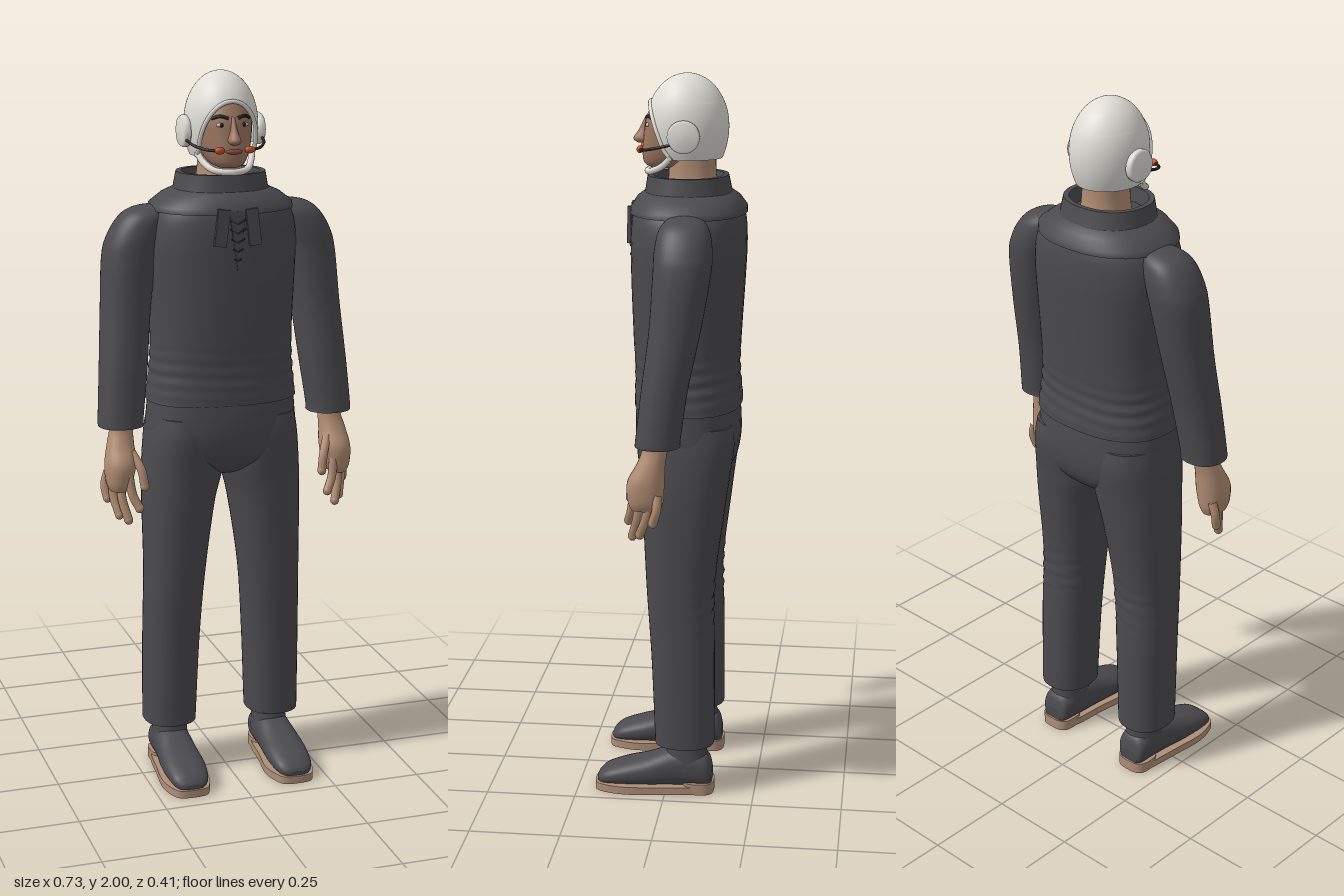
import * as THREE from 'three';

const mat = (name, color, side = THREE.FrontSide) => {
  const m = new THREE.MeshStandardMaterial({ color, side });
  m.name = name;
  return m;
};

// Stacks superellipse rings [y, x0, x1, z0, z1] upwards, smoothed between rings, with flat caps.
function loft(rings, { steps = 6, sides = 40, p = 2.2, warp } = {}) {
  const pos = [], idx = [], rows = [], last = rings.length - 1;
  const at = (i, k) => rings[Math.min(last, Math.max(0, i))][k];
  for (let r = 0; r <= last * steps; r++) {
    const i = Math.min(last - 1, Math.floor(r / steps)), t = r / steps - i;
    rows.push([0, 1, 2, 3, 4].map((k) => {
      const a = at(i - 1, k), b = at(i, k), c = at(i + 1, k), d = at(i + 2, k);
      if (steps === 1) return t ? c : b;
      return b + 0.5 * t * (c - a + t * (2 * a - 5 * b + 4 * c - d + t * (3 * (b - c) + d - a)));
    }));
  }
  const pow = (v) => Math.sign(v) * Math.abs(v) ** (2 / p);
  const addRow = ([y, x0, x1, z0, z1]) => {
    for (let j = 0; j < sides; j++) {
      const a = (j / sides) * Math.PI * 2;
      const v = new THREE.Vector3((x0 + x1) / 2 + (x1 - x0) / 2 * pow(Math.cos(a)), y,
        (z0 + z1) / 2 + (z1 - z0) / 2 * pow(Math.sin(a)));
      if (warp) warp(v, a);
      pos.push(v.x, v.y, v.z);
    }
  };
  rows.forEach(addRow);
  for (let i = 0; i < rows.length - 1; i++) for (let j = 0; j < sides; j++) {
    const k = (j + 1) % sides, A = i * sides + j, C = i * sides + k;
    idx.push(A, A + sides, C, A + sides, C + sides, C);
  }
  [rows[0], rows[rows.length - 1]].forEach((row, top) => {
    const start = pos.length / 3;
    addRow(row);
    pos.push((row[1] + row[2]) / 2, row[0], (row[3] + row[4]) / 2);
    for (let j = 0; j < sides; j++) {
      const k = (j + 1) % sides;
      idx.push(start + sides, start + (top ? k : j), start + (top ? j : k));
    }
  });
  return surface(pos, idx);
}

function surface(pos, idx) {
  const g = new THREE.BufferGeometry();
  g.setAttribute('position', new THREE.Float32BufferAttribute(pos, 3));
  g.setIndex(idx);
  g.computeVertexNormals();
  return g;
}

// Ring symmetric about x = 0
const sym = (y, w, z0, z1) => [y, -w, w, z0, z1];

function tube(points, r, n = 20) {
  const curve = new THREE.CatmullRomCurve3(points.map((q) => new THREE.Vector3(...q)));
  return new THREE.TubeGeometry(curve, n, r, 10);
}

function ball(x, y, z, sx, sy, sz) {
  return new THREE.SphereGeometry(1, 20, 14).scale(sx, sy, sz).translate(x, y, z);
}

function mirror(geo) {
  const g = geo.clone().scale(-1, 1, 1);
  const src = g.index ? Array.from(g.index.array) : Array.from({ length: g.attributes.position.count }, (_, i) => i);
  for (let i = 0; i < src.length; i += 3) [src[i], src[i + 1]] = [src[i + 1], src[i]];
  g.setIndex(src);
  return g;
}

export function createModel() {
  const root = new THREE.Group();
  const suit = mat('charcoal cloth', 0x4b4b4f), lace = mat('dark lace', 0x2b2b2d);
  const white = mat('helmet white', 0xdfddd6, THREE.DoubleSide), skin = mat('skin', 0xb08c72);
  const face = mat('face skin', 0x9c7760), tan = mat('sole tan', 0xae8f78);
  const orange = mat('microphone orange', 0xc2502a), black = mat('hair black', 0x241f1d);
  const eyeWhite = mat('eye white', 0xcfc8c0), lip = mat('lip', 0x85503f);
  const add = (name, geo, m) => {
    const mesh = new THREE.Mesh(geo, m);
    mesh.name = name;
    root.add(mesh);
  };
  const pair = (name, geo, m) => {
    add(name + 'Left', geo, m);
    add(name + 'Right', mirror(geo), m);
  };

  // Jersey with waist folds
  add('jersey', loft([
    sym(1.1, 0.212, -0.194, 0.101), sym(1.13, 0.208, -0.192, 0.101), sym(1.2, 0.2, -0.186, 0.1),
    sym(1.3, 0.198, -0.19, 0.105), sym(1.45, 0.205, -0.199, 0.11), sym(1.55, 0.208, -0.203, 0.111),
    sym(1.62, 0.195, -0.198, 0.106), sym(1.66, 0.16, -0.18, 0.09), sym(1.69, 0.1, -0.14, 0.05),
  ], {
    steps: 10, sides: 56, p: 2.4,
    warp: (v, a) => {
      const k = 0.012 * Math.max(0, 1 - Math.abs(v.y - 1.19) / 0.09) * Math.sin(v.y * 170 + Math.sin(a * 2) * 1.2);
      v.x *= 1 + k;
      v.z *= 1 + k;
    },
  }), suit);

  // Yoke and stand-up collar; repeated rings keep the edges sharp
  add('collar', loft([
    sym(1.63, 0.196, -0.2, 0.108), sym(1.63, 0.2, -0.204, 0.114), sym(1.63, 0.2, -0.204, 0.114),
    sym(1.645, 0.198, -0.203, 0.112), sym(1.67, 0.165, -0.185, 0.096), sym(1.685, 0.132, -0.165, 0.076),
    sym(1.685, 0.13, -0.162, 0.074), sym(1.73, 0.122, -0.152, 0.067), sym(1.73, 0.122, -0.152, 0.067),
    sym(1.73, 0.107, -0.138, 0.053), sym(1.73, 0.107, -0.138, 0.053), sym(1.69, 0.1, -0.13, 0.045),
  ], { steps: 1, sides: 56 }), suit);

  // Neck tabs and laced opening
  pair('neckTab', new THREE.BoxGeometry(0.034, 0.1, 0.01).rotateZ(0.12).translate(0.044, 1.596, 0.112), suit);
  const vee = new THREE.Shape([[-0.024, 1.64], [0, 1.48], [0.024, 1.64]].map((q) => new THREE.Vector2(...q)));
  add('neckOpening', new THREE.ExtrudeGeometry(vee, { depth: 0.004, bevelEnabled: false }).translate(0, 0, 0.1095), suit);
  for (let i = 0; i < 5; i++) {
    const w = 0.011 + i * 0.005;
    pair('lace' + i, new THREE.BoxGeometry(w, 0.004, 0.004).rotateZ(0.5).translate(w * 0.45, 1.508 + i * 0.026, 0.115), lace);
  }

  // Sleeves
  pair('sleeve', loft([
    [1.048, 0.24, 0.365, -0.055, 0.066], [1.07, 0.24, 0.365, -0.056, 0.064], [1.2, 0.223, 0.356, -0.074, 0.05],
    [1.35, 0.207, 0.344, -0.105, 0.032], [1.5, 0.185, 0.333, -0.13, 0.023], [1.56, 0.17, 0.317, -0.132, 0.021],
    [1.61, 0.155, 0.286, -0.122, 0.012], [1.635, 0.145, 0.252, -0.1, -0.008], [1.645, 0.15, 0.21, -0.07, -0.035],
  ], { steps: 8 }), suit);

  // Hands
  pair('palm', loft([
    [0.875, 0.295, 0.345, -0.004, 0.075], [0.9, 0.282, 0.354, -0.012, 0.084], [0.95, 0.27, 0.356, -0.014, 0.086],
    [1.0, 0.272, 0.346, -0.016, 0.06], [1.04, 0.272, 0.336, -0.022, 0.046], [1.08, 0.27, 0.336, -0.024, 0.046],
  ], { sides: 24 }), skin);
  [
    [[0.34, 0.92, 0.002], [0.35, 0.88, 0.004], [0.346, 0.845, 0.014]],
    [[0.33, 0.92, 0.025], [0.334, 0.86, 0.032], [0.322, 0.805, 0.052]],
    [[0.315, 0.92, 0.05], [0.316, 0.855, 0.058], [0.302, 0.795, 0.074]],
    [[0.298, 0.92, 0.07], [0.29, 0.865, 0.078], [0.274, 0.83, 0.088]],
    [[0.285, 0.98, 0.05], [0.265, 0.935, 0.078], [0.258, 0.89, 0.085]],
  ].forEach((path, i) => {
    const name = i < 4 ? 'finger' + i : 'thumb';
    pair(name, tube(path, 0.0125, 10), skin);
    pair(name + 'Tip', ball(...path[2], 0.0125, 0.0135, 0.0125), skin);
  });

  // Trousers with folds behind the knees
  add('trouserSeat', loft([
    sym(0.885, 0.06, -0.1, 0.01), sym(0.905, 0.13, -0.145, 0.05), sym(0.945, 0.195, -0.178, 0.083),
    sym(1.0, 0.213, -0.19, 0.097), sym(1.06, 0.21, -0.19, 0.099), sym(1.12, 0.204, -0.185, 0.096),
  ], { sides: 48, p: 2.4 }), suit);
  pair('trouserLeg', loft([
    [0.15, 0.08, 0.229, -0.134, 0.031], [0.17, 0.079, 0.23, -0.136, 0.032], [0.4, 0.069, 0.229, -0.135, 0.042],
    [0.6, 0.054, 0.226, -0.133, 0.056], [0.8, 0.026, 0.227, -0.156, 0.067], [0.9, 0.003, 0.225, -0.169, 0.074],
    [1.0, 0.005, 0.216, -0.182, 0.085], [1.06, 0.02, 0.205, -0.175, 0.08],
  ], {
    steps: 12, p: 2.3,
    warp: (v, a) => {
      const k = Math.max(0, 1 - Math.abs(v.y - 0.56) / 0.1) * Math.max(0, -Math.sin(a));
      v.z += 0.005 * k * Math.sin(v.y * 160 + v.x * 25);
    },
  }), suit);

  // Shoes: upper lofted heel to toe, ankle and sole
  const shoe = [
    [-0.13, 0.125, 0.185, 0.02, 0.07], [-0.115, 0.108, 0.2, 0.016, 0.11], [-0.06, 0.102, 0.204, 0.014, 0.13],
    [-0.01, 0.1, 0.207, 0.014, 0.122], [0.05, 0.097, 0.213, 0.014, 0.1], [0.11, 0.095, 0.214, 0.014, 0.083],
    [0.165, 0.103, 0.207, 0.014, 0.063], [0.188, 0.118, 0.192, 0.016, 0.045], [0.195, 0.135, 0.175, 0.02, 0.035],
  ].map(([z, x0, x1, y0, y1]) => [z, x0, x1, -y1, -y0]);
  pair('shoeUpper', loft(shoe, { p: 2.4 }).rotateX(Math.PI / 2), suit);
  pair('ankle', loft([
    [0.07, 0.1, 0.205, -0.122, 0.015], [0.12, 0.103, 0.2, -0.115, 0.0], [0.2, 0.106, 0.196, -0.11, -0.006],
  ], { sides: 28 }), suit);
  const outline = new THREE.Shape(new THREE.SplineCurve([
    [0.12, -0.125], [0.155, -0.135], [0.19, -0.125], [0.205, -0.07], [0.214, 0.02], [0.222, 0.11], [0.208, 0.175],
    [0.185, 0.199], [0.125, 0.199], [0.102, 0.175], [0.087, 0.11], [0.097, 0.02], [0.104, -0.07], [0.12, -0.125],
  ].map((q) => new THREE.Vector2(...q))).getPoints(64));
  pair('sole', new THREE.ExtrudeGeometry(outline, { depth: 0.022, bevelEnabled: false })
    .rotateX(Math.PI / 2).translate(0, 0.022, 0), tan);
  pair('heel', loft([[0, 0.106, 0.204, -0.136, -0.05], [0.032, 0.105, 0.205, -0.136, -0.045]],
    { steps: 1, p: 3 }), tan);

  // Neck, head and face
  add('neck', loft([sym(1.68, 0.068, -0.125, 0.015), sym(1.74, 0.06, -0.118, 0.01), sym(1.81, 0.058, -0.118, 0.01)]), skin);
  add('head', loft([
    sym(1.748, 0.028, -0.01, 0.06), sym(1.76, 0.047, -0.06, 0.077), sym(1.79, 0.063, -0.1, 0.082),
    sym(1.83, 0.073, -0.12, 0.078), sym(1.87, 0.075, -0.125, 0.074), sym(1.9, 0.07, -0.12, 0.064),
    sym(1.93, 0.058, -0.1, 0.045), sym(1.95, 0.03, -0.06, 0),
  ]), face);
  add('nose', loft([
    sym(1.813, 0.011, 0.06, 0.095), sym(1.824, 0.017, 0.055, 0.107), sym(1.85, 0.01, 0.05, 0.091),
    sym(1.885, 0.006, 0.045, 0.073),
  ], { sides: 20 }), face);
  add('mouth', ball(0, 1.794, 0.08, 0.023, 0.007, 0.007), lip);
  pair('eye', ball(0.032, 1.864, 0.063, 0.013, 0.006, 0.006), eyeWhite);
  pair('iris', ball(0.031, 1.864, 0.067, 0.006, 0.006, 0.004), black);
  pair('eyebrow', tube([[0.012, 1.881, 0.069], [0.034, 1.887, 0.062], [0.052, 1.88, 0.047]], 0.0045), black);

  // Helmet shell: ellipsoid rows that part around the face
  const pos = [], idx = [], edge = [], cols = 56, rows = 40, half = 24, brow = 1.925;
  const rise = Math.asin((brow - 1.86) / 0.14);
  for (let r = 0; r <= rows; r++) {
    const t = r / half;
    const y = r <= half ? 1.775 + (brow - 1.775) * (1 - (1 - t) ** 2)
      : 1.86 + 0.14 * Math.sin(rise + (Math.PI / 2 - rise) * (r - half) / (rows - half));
    const f = Math.sqrt(Math.max(0, 1 - ((y - 1.86) / (y > 1.86 ? 0.14 : 0.16)) ** 2));
    const w = r >= half ? 0 : 0.079 * Math.sqrt(1 - (Math.max(0, y - 1.81) / 0.115) ** 2);
    const gap = w ? Math.asin(Math.min(1, w / (0.1 * f))) : 0;
    for (let c = 0; c <= cols; c++) {
      const a = gap + (2 * Math.PI - 2 * gap) * c / cols;
      const q = [0.1 * f * Math.sin(a), y, -0.04 + 0.112 * f * Math.cos(a)];
      pos.push(...q);
      if (c === 0 && r <= half && r % 2 === 0) edge.push(q);
      if (r < rows && c < cols) {
        const A = r * (cols + 1) + c, B = A + cols + 1;
        idx.push(A, A + 1, B, A + 1, B + 1, B);
      }
    }
  }
  add('helmetShell', surface(pos, idx), white);
  const back = edge.slice(0, -1).reverse().map(([x, y, z]) => [-x, y, z]);
  add('helmetRim', tube([...edge, ...back], 0.006, 80), white);

  // Chin strap, ear cups and microphones
  add('chinStrap', tube([
    [0.078, 1.785, -0.005], [0.067, 1.76, 0.018], [0.045, 1.742, 0.05], [0, 1.738, 0.068],
    [-0.045, 1.742, 0.05], [-0.067, 1.76, 0.018], [-0.078, 1.785, -0.005],
  ], 0.009, 40), white);
  const cup = [[0, 0.08], [0.036, 0.08], [0.036, 0.094], [0.043, 0.096], [0.044, 0.108], [0.038, 0.116], [0, 0.118]];
  pair('earCup', new THREE.LatheGeometry(cup.map((q) => new THREE.Vector2(...q)), 32)
    .rotateZ(-Math.PI / 2).translate(0, 1.84, -0.04), white);
  pair('microphoneBoom', tube([[0.108, 1.82, -0.01], [0.1, 1.81, 0.03], [0.075, 1.801, 0.068], [0.04, 1.798, 0.088]], 0.004), black);
  pair('microphone', ball(0.042, 1.799, 0.084, 0.014, 0.01, 0.009), orange);

  return root;
}
